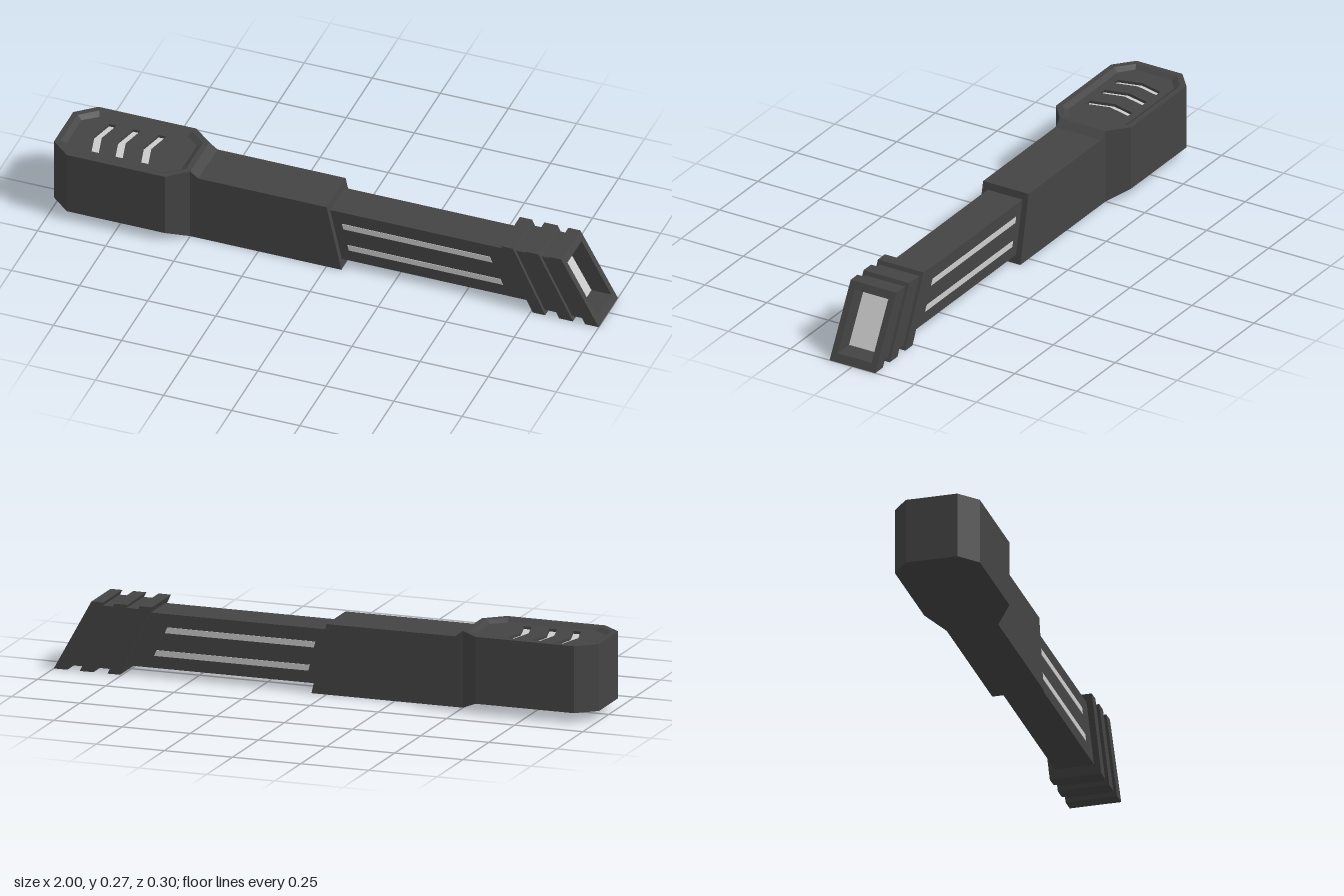
import * as THREE from 'three';
import { ConvexGeometry } from 'three/addons/geometries/ConvexGeometry.js';

const dark = new THREE.MeshStandardMaterial({ color: 0x444444, flatShading: true });
const light = new THREE.MeshStandardMaterial({ color: 0xcccccc, flatShading: true });
const TOP = 0.25; // height of the body and the fins

const points = (list) => list.map(([x, y]) => new THREE.Vector2(x, y));

function rect(w, y0, y1) {
  return points([[-w, y0], [w, y0], [w, y1], [-w, y1]]);
}

function extrude(outline, depth, holes = []) {
  const shape = new THREE.Shape(outline);
  for (const h of holes) shape.holes.push(new THREE.Path(h));
  return new THREE.ExtrudeGeometry(shape, { depth, bevelEnabled: false });
}

// Block along x whose ends lean: each end is [x at y = 0, x at y = TOP]
function leaning(w, y0, y1, start, end, hole) {
  const geo = extrude(rect(w, y0, y1), 1, hole ? [hole] : []);
  geo.rotateY(Math.PI / 2);
  const p = geo.attributes.position;
  const at = (line, y) => line[0] + (line[1] - line[0]) * y / TOP;
  for (let i = 0; i < p.count; i++) {
    const a = at(start, p.getY(i)), b = at(end, p.getY(i));
    p.setX(i, a + (b - a) * p.getX(i));
  }
  geo.computeVertexNormals();
  return geo;
}

// Plate lying flat between two heights; outline given as (x, -z)
function flat(outline, y0, y1, holes) {
  return extrude(outline, y1 - y0, holes).rotateX(-Math.PI / 2).translate(0, y0, 0);
}

// Chamfered outline of the head, drawn in by an inset
function octagon(inset) {
  const hx = 0.25 - inset, hz = 0.152 - inset;
  const cx = 0.07 - inset * 0.5, cz = 0.06 - inset * 0.5;
  return points([
    [-hx + cx, -hz], [hx - cx, -hz], [hx, -hz + cz], [hx, hz - cz],
    [hx - cx, hz], [-hx + cx, hz], [-hx, hz - cz], [-hx, -hz + cz],
  ].map(([x, z]) => [x - 0.75, z]));
}

function chevron(x) {
  return points([
    [x, 0], [x + 0.022, -0.086], [x + 0.05, -0.086],
    [x + 0.028, 0], [x + 0.05, 0.086], [x + 0.022, 0.086],
  ]);
}

// Sloping inner wall of the head rim
function rimSlope(low, high, y0, y1) {
  const pos = [];
  low.forEach((a, i) => {
    const j = (i + 1) % low.length, b = low[j], c = high[j], d = high[i];
    const A = [a.x, y0, -a.y], B = [b.x, y0, -b.y], C = [c.x, y1, -c.y], D = [d.x, y1, -d.y];
    pos.push(...A, ...C, ...B, ...A, ...D, ...C);
  });
  const geo = new THREE.BufferGeometry();
  geo.setAttribute('position', new THREE.Float32BufferAttribute(pos, 3));
  geo.computeVertexNormals();
  return geo;
}

export function createModel() {
  const model = new THREE.Group();
  const add = (name, geo, mat = dark) => {
    const mesh = new THREE.Mesh(geo, mat);
    mesh.name = name;
    model.add(mesh);
  };

  // Head with a sunken top plate and three chevron windows
  const chevrons = [-0.888, -0.8, -0.706].map(chevron);
  add('headBlock', flat(octagon(0), 0.035, 0.245));
  add('headRim', flat(octagon(0), 0.245, 0.272, [octagon(0.02)]));
  const slope = rimSlope(octagon(0.038), octagon(0.02), 0.26, 0.272);
  add('headRimSlope', slope);
  model.children.at(-1).material = dark.clone();
  model.children.at(-1).material.side = THREE.DoubleSide;
  add('headPlate', flat(octagon(0.02), 0.245, 0.26, chevrons));
  for (const c of chevrons) add('chevronLight', flat(c, 0.24, 0.25), light);

  // Wedge under the head leading down to the body
  const wedge = [];
  for (const s of [-1, 1]) {
    wedge.push(
      new THREE.Vector3(-0.57, 0.035, s * 0.152),
      new THREE.Vector3(-0.5, 0.035, s * 0.092),
      new THREE.Vector3(-0.5, 0, s * 0.092),
    );
  }
  add('headWedge', new ConvexGeometry(wedge));

  // Body with a ramp up to the head and a leaning end
  const profile = points([
    [-0.505, 0.01], [-0.5, 0], [0.055, 0], [0, TOP],
    [-0.47, TOP], [-0.5, 0.272], [-0.505, 0.26],
  ]);
  add('body', extrude(profile, 0.184).translate(0, 0, -0.092));

  // Narrow shaft with two light strips on each side
  add('shaft', leaning(0.07, 0.03, 0.225, [-0.02, -0.06], [0.79, 0.67]));
  for (const s of [-1, 1]) {
    for (const [y, x0, x1] of [[0.157, 0.092, 0.67], [0.073, 0.092, 0.672]]) {
      const strip = leaning(0.002, y, y + 0.021, [x0, x0 - 0.06], [x1, x1 - 0.11]);
      add('lightStrip', strip.translate(0, 0, s * 0.07), light);
    }
  }

  // Leaning tip: core, three fins and a hollow mouth with a light panel
  const mouth = rect(0.068, 0.027, 0.225);
  add('tipCore', leaning(0.08, 0.014, 0.236, [0.78, 0.66], [0.925, 0.785]));
  add('tipNeck', leaning(0.08, 0.014, 0.236, [0.925, 0.785], [0.96, 0.83], mouth));
  add('tipFin', leaning(0.092, 0, TOP, [0.757, 0.64], [0.803, 0.685]));
  add('tipFin', leaning(0.092, 0, TOP, [0.855, 0.73], [0.905, 0.778]));
  add('tipMouth', leaning(0.092, 0, TOP, [0.95, 0.818], [1, 0.862], mouth));
  add('mouthLight', leaning(0.068, 0.027, 0.225, [0.92, 0.78], [0.927, 0.787]), light);
  return model;
}
